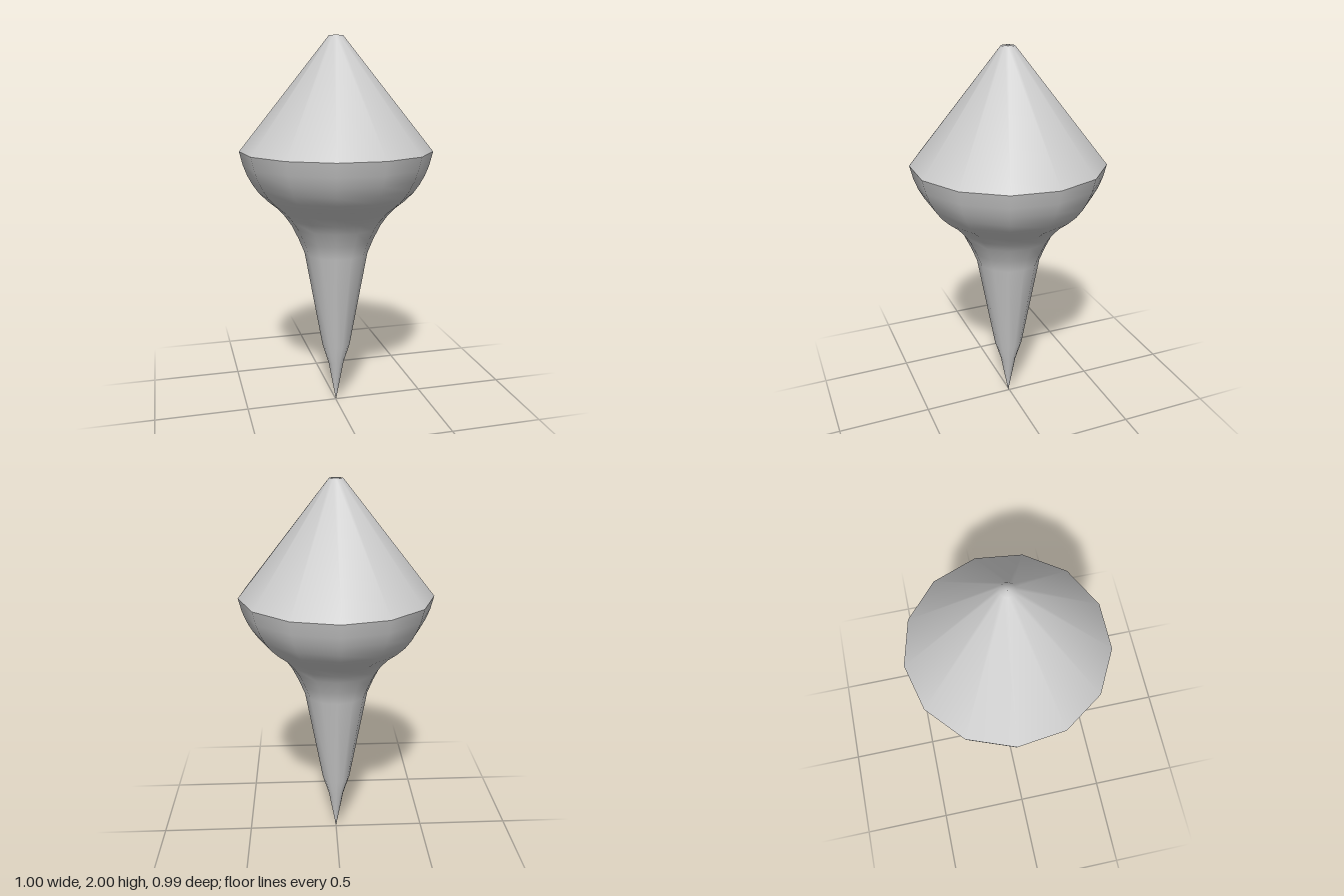
import * as THREE from 'three';

const SIDES = 13;
const RADIUS = 0.503;

// Turned part with a corner pointing to the back
function turned(name, profile, material) {
  const points = profile.map(([r, y]) => new THREE.Vector2(r, y));
  const mesh = new THREE.Mesh(new THREE.LatheGeometry(points, SIDES, Math.PI), material);
  mesh.name = name;
  return mesh;
}

export function createModel() {
  const group = new THREE.Group();
  group.name = 'spinningTop';
  const material = new THREE.MeshStandardMaterial({ color: 0xcccccc, side: THREE.DoubleSide });

  // Pointed stem flaring into the rounded bowl
  const body = turned('stemAndBowl', [
    [0, 0], [0.042, 0.23], [0.076, 0.34], [0.17, 0.87], [0.2, 0.945],
    [0.236, 1.02], [0.27, 1.07], [0.31, 1.115], [0.36, 1.155], [0.406, 1.2],
    [0.438, 1.245], [0.465, 1.295], [0.486, 1.35], [RADIUS, 1.42],
  ], material);

  // Conical lid with a small blunt tip, creased at the rim
  const lid = turned('coneLid', [[RADIUS, 1.42], [0.036, 2], [0, 2]], material);

  group.add(body, lid);

  // An odd number of sides leaves the axis slightly forward of the centre
  const shift = RADIUS * (1 - Math.cos(Math.PI / SIDES)) / 2;
  group.children.forEach((part) => { part.position.z = shift; });
  return group;
}
